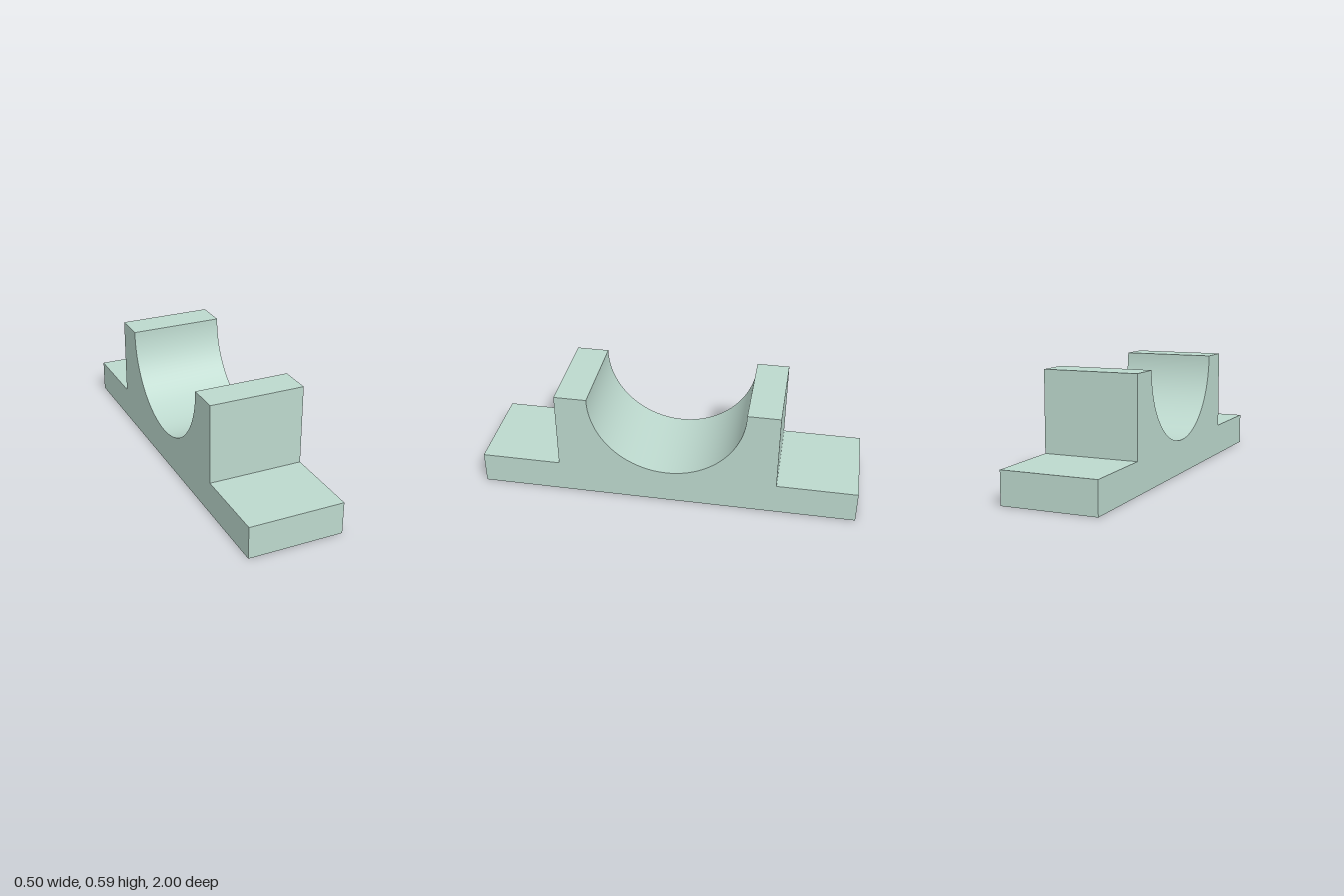
import * as THREE from 'three';
import { toCreasedNormals } from 'three/addons/utils/BufferGeometryUtils.js';

const WIDTH = 0.5, HALF_LENGTH = 1, HEIGHT = 0.59;
const FLANGE_HEIGHT = 0.17, BLOCK_HALF = 0.58, BORE_RADIUS = 0.41;

export function createModel() {
  const group = new THREE.Group();
  group.name = 'bearingSaddle';

  // Side profile: flanged base, raised block and half-round cradle
  const profile = new THREE.Shape();
  profile.moveTo(-HALF_LENGTH, 0);
  profile.lineTo(HALF_LENGTH, 0);
  profile.lineTo(HALF_LENGTH, FLANGE_HEIGHT);
  profile.lineTo(BLOCK_HALF, FLANGE_HEIGHT);
  profile.lineTo(BLOCK_HALF, HEIGHT);
  profile.lineTo(BORE_RADIUS, HEIGHT);
  profile.absarc(0, HEIGHT, BORE_RADIUS, 0, -Math.PI, true);
  profile.lineTo(-BLOCK_HALF, HEIGHT);
  profile.lineTo(-BLOCK_HALF, FLANGE_HEIGHT);
  profile.lineTo(-HALF_LENGTH, FLANGE_HEIGHT);
  profile.closePath();

  // Extrude across the width, then turn the length onto the z axis
  const extruded = new THREE.ExtrudeGeometry(profile, {
    depth: WIDTH, bevelEnabled: false, curveSegments: 32,
  });
  extruded.translate(0, 0, -WIDTH / 2);
  extruded.rotateY(-Math.PI / 2);

  // Smooth cradle, sharp edges elsewhere
  const geometry = toCreasedNormals(extruded, 0.5);
  const saddle = new THREE.Mesh(geometry, new THREE.MeshStandardMaterial({ color: 0xbcd8cd }));
  saddle.name = 'saddleBlock';
  group.add(saddle);
  return group;
}
